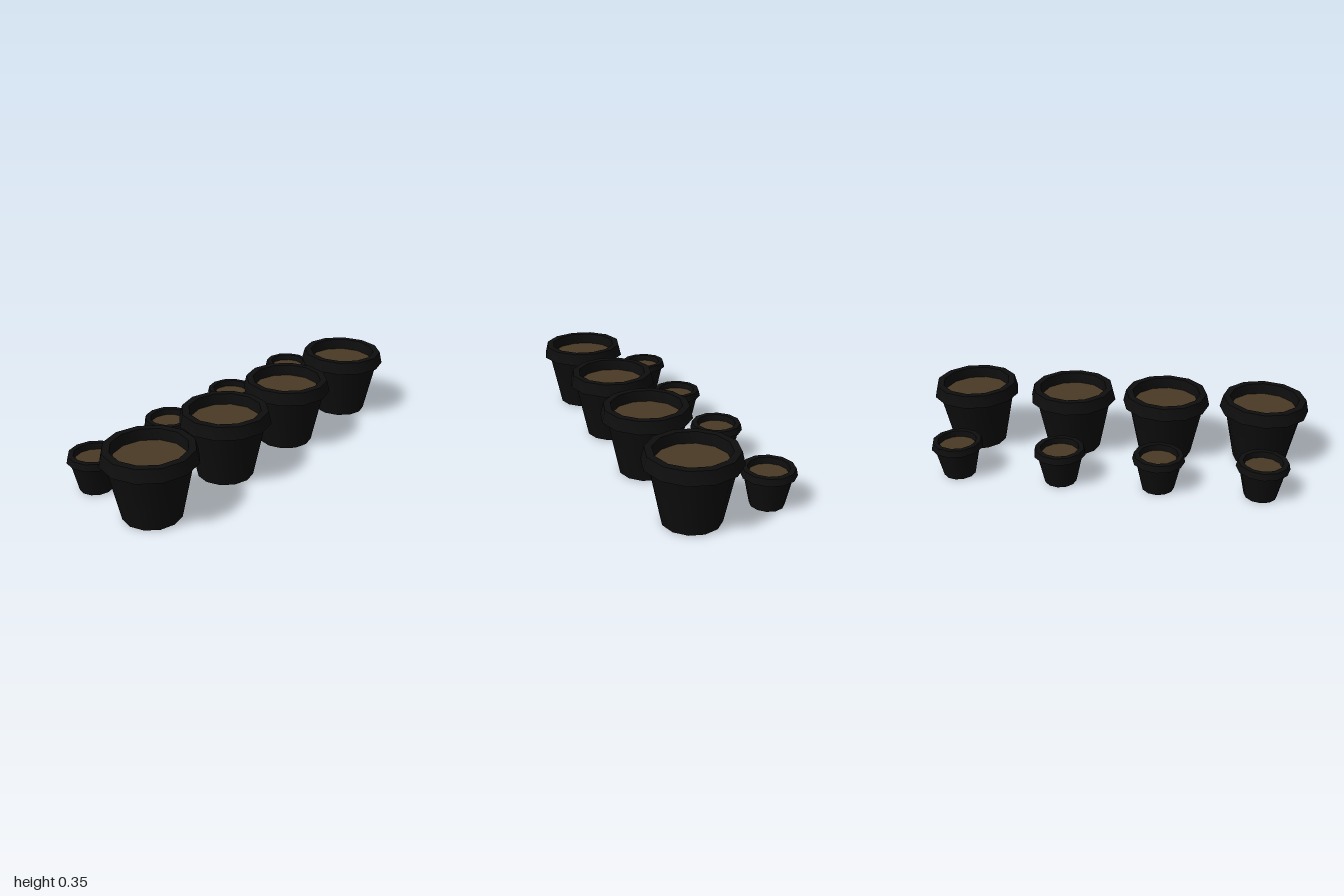
import * as THREE from 'three';
import { toCreasedNormals } from 'three/addons/utils/BufferGeometryUtils.js';

const SIDES = 12;
const plastic = new THREE.MeshStandardMaterial({ color: 0x0e0e0e });
const earth = new THREE.MeshStandardMaterial({ color: 0x4a3b25 });

// Large and small pots: radii and heights of the profile
const LARGE = { base: 0.141, wall: 0.2, lip: 0.228, top: 0.213, inner: 0.178, soil: 0.171, y0: 0.003, lipY: 0.288, topY: 0.35, soilY: 0.295 };
const SMALL = { base: 0.082, wall: 0.116, lip: 0.132, top: 0.124, inner: 0.098, soil: 0.094, y0: 0, lipY: 0.155, topY: 0.188, soilY: 0.157 };

function lathe(points) {
  const profile = points.map(([r, y]) => new THREE.Vector2(r, y));
  return toCreasedNormals(new THREE.LatheGeometry(profile, SIDES), 0.6);
}

function createPot(p, name) {
  const pot = new THREE.Group();
  pot.name = name;

  // Shell from the recessed underside, up the tapered wall, over the lip and inside
  const recess = p.base * 0.07;
  const shell = new THREE.Mesh(lathe([
    [0, p.y0 + recess],
    [p.base * 0.82, p.y0 + recess],
    [p.base * 0.86, p.y0],
    [p.base, p.y0],
    [p.wall, p.lipY],
    [p.lip, p.lipY],
    [p.top, p.topY],
    [p.inner, p.topY],
    [p.soil, p.soilY],
  ]), plastic);
  shell.name = 'potShell';

  // Soil disc
  const disc = new THREE.CircleGeometry(p.soil, SIDES).rotateX(-Math.PI / 2);
  const soil = new THREE.Mesh(disc, earth);
  soil.name = 'soil';
  soil.position.y = p.soilY;

  pot.add(shell, soil);
  return pot;
}

export function createModel() {
  const model = new THREE.Group();
  model.name = 'plantPots';

  // Four columns: a large pot in front, a small one behind
  [-0.772, -0.261, 0.238, 0.772].forEach((x, i) => {
    const large = createPot(LARGE, `largePot${i + 1}`);
    large.position.set(x, 0, 0.144);
    const small = createPot(SMALL, `smallPot${i + 1}`);
    small.position.set(x, 0, -0.239);
    model.add(large, small);
  });
  return model;
}
